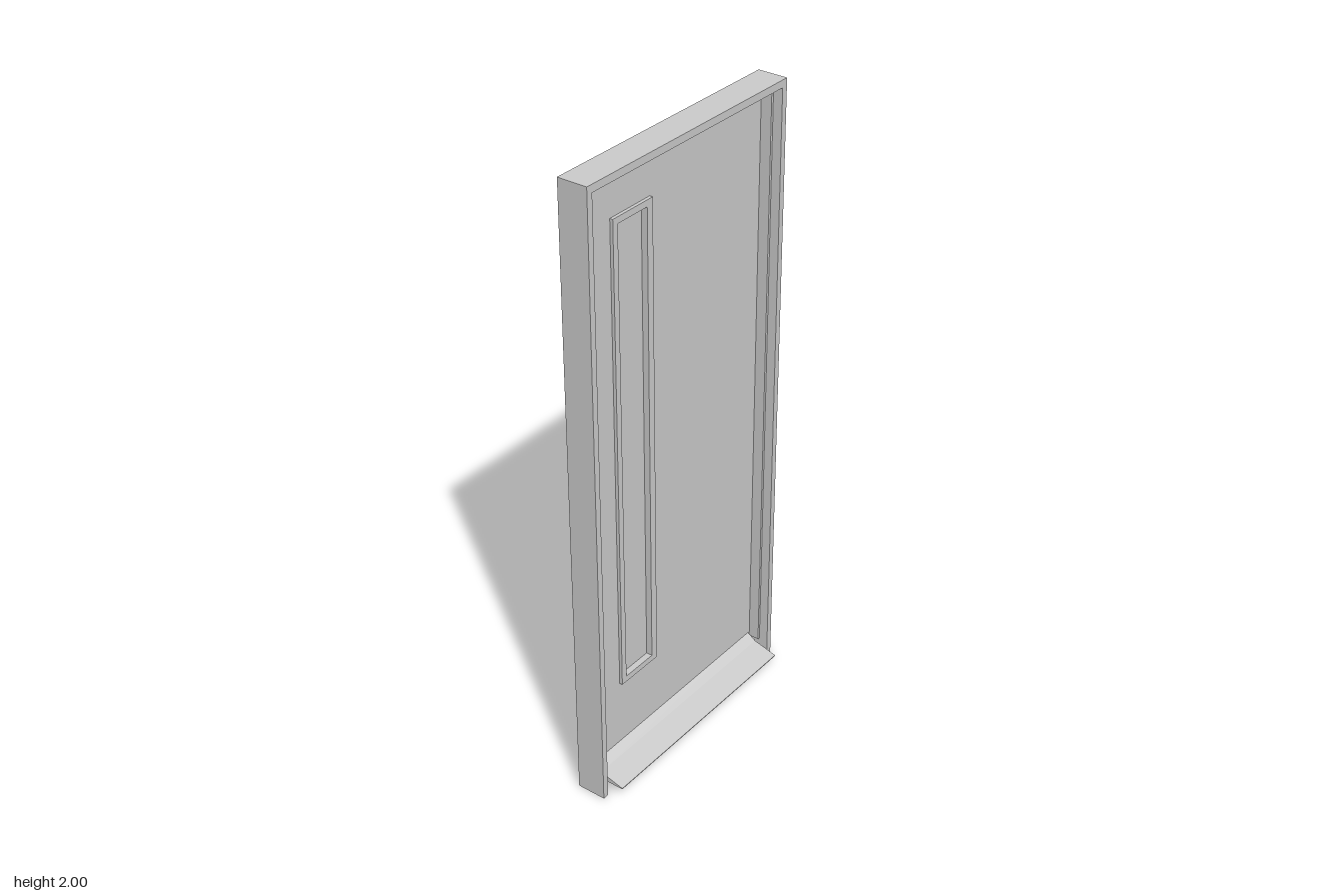
import * as THREE from 'three';

const material = new THREE.MeshStandardMaterial({ color: 0xcccccc, flatShading: true });

// Closed polygon from [x, y] points
function polygon(points, Type = THREE.Shape) {
  return new Type(points.map(([x, y]) => new THREE.Vector2(x, y)));
}

function rect(x0, x1, y0, y1) {
  return [[x0, y0], [x1, y0], [x1, y1], [x0, y1]];
}

// Upright plate between two depths, with an optional hole
function plate(name, outline, z0, z1, hole) {
  const shape = polygon(outline);
  if (hole) shape.holes.push(polygon(hole, THREE.Path));
  const geometry = new THREE.ExtrudeGeometry(shape, { depth: z1 - z0, bevelEnabled: false });
  geometry.translate(0, 0, z0);
  const mesh = new THREE.Mesh(geometry, material);
  mesh.name = name;
  return mesh;
}

// Upside-down U: two jambs and a head
function archOutline(outerX, outerY, innerX, innerY, bottom) {
  return [
    [-outerX, bottom], [-innerX, bottom], [-innerX, innerY], [innerX, innerY],
    [innerX, bottom], [outerX, bottom], [outerX, outerY], [-outerX, outerY],
  ];
}

export function createModel() {
  const door = new THREE.Group();
  door.name = 'door';

  const back = -0.065, front = 0.03, slabFront = -0.035;
  const opening = rect(-0.245, -0.122, 0.32, 1.81);
  const trimOutline = rect(-0.265, -0.098, 0.3, 1.83);

  // Frame with a slim stop stepping inward in front of the leaf
  door.add(plate('frame', archOutline(0.43, 2, 0.41, 1.977, 0), back, front));
  door.add(plate('frameStop', archOutline(0.41, 1.977, 0.402, 1.969, 0.065), slabFront, 0));

  // Door leaf, flush with the back of the frame
  door.add(plate('leaf', rect(-0.409, 0.409, 0.065, 1.972), back, slabFront, opening));

  // Narrow window: glass and a raised trim on each face
  door.add(plate('windowPane', opening, -0.055, -0.045));
  door.add(plate('backWindowTrim', trimOutline, back - 0.01, back, opening));
  door.add(plate('frontWindowTrim', trimOutline, slabFront, slabFront + 0.01, opening));

  // Sloping sill: side profile as [z, y], swept across the width
  const profile = polygon([
    [-0.065, 0.035], [0.073, 0.035], [0.073, 0.038], [-0.007, 0.06],
    [-0.035, 0.08], [-0.035, 0.065], [-0.065, 0.065],
  ]);
  const sillGeometry = new THREE.ExtrudeGeometry(profile, { depth: 0.79, bevelEnabled: false });
  sillGeometry.rotateY(-Math.PI / 2).translate(0.395, 0, 0);
  const sill = new THREE.Mesh(sillGeometry, material);
  sill.name = 'sill';
  door.add(sill);

  return door;
}
